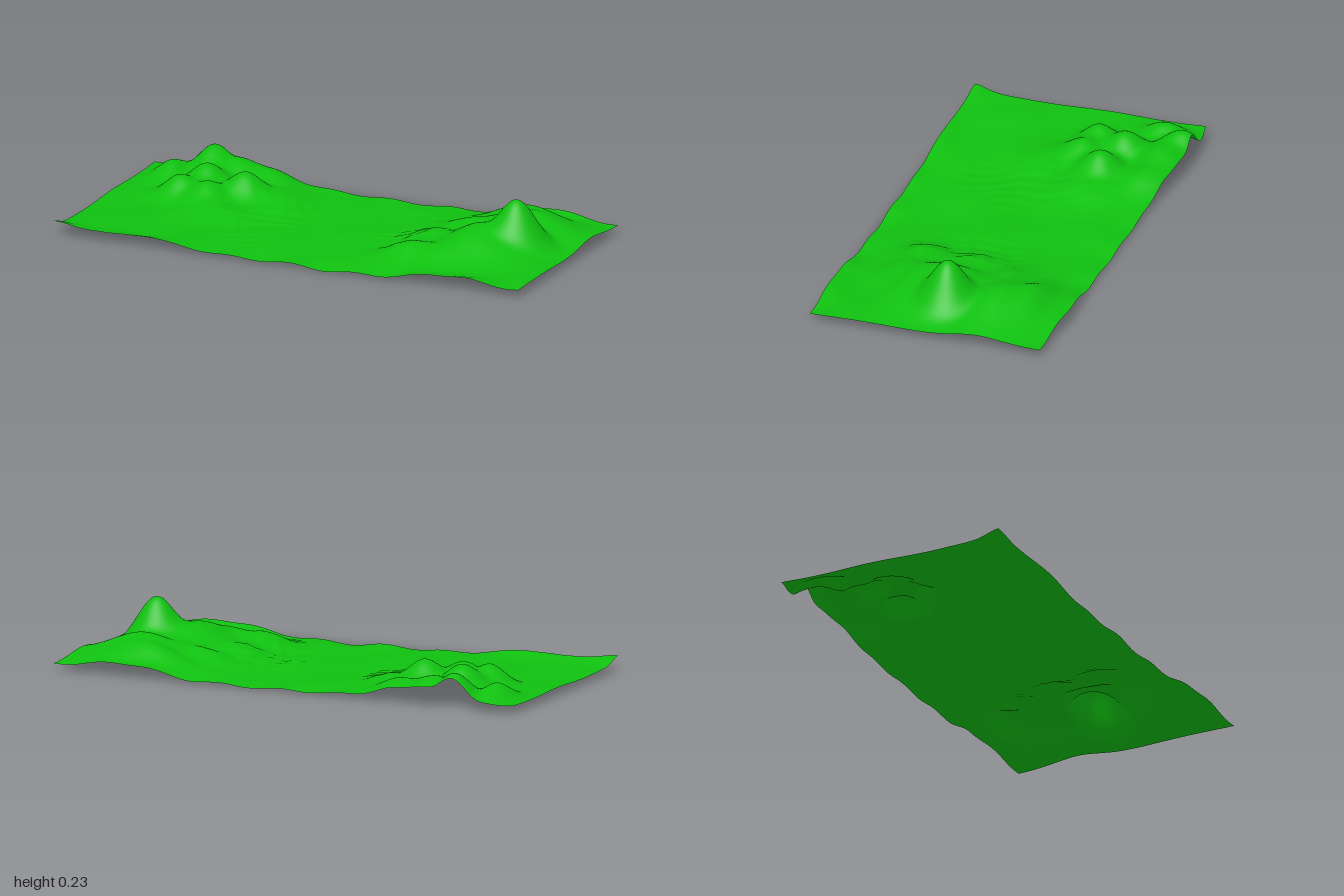
import * as THREE from 'three';

// Hills: x, z, height above the plain, radius in x, radius in z
const HILLS = [
  // right massif: tall peak, plateau and foothills
  [0.77, 0.0, 0.2, 0.078, 0.075],
  [0.74, -0.2, 0.1, 0.14, 0.09],
  [0.68, -0.31, 0.075, 0.14, 0.06],
  [0.62, 0.03, 0.095, 0.1, 0.13],
  [0.67, 0.14, 0.075, 0.13, 0.09],
  [0.52, -0.16, 0.055, 0.1, 0.07],
  [0.41, 0.22, 0.06, 0.08, 0.08],
  [0.56, 0.24, 0.05, 0.1, 0.07],
  [0.42, 0.02, 0.05, 0.08, 0.09],
  [0.7, -0.47, 0.03, 0.1, 0.05],
  // left massif: knot of rounded summits
  [-0.74, -0.43, 0.105, 0.06, 0.06],
  [-0.63, -0.4, 0.085, 0.09, 0.07],
  [-0.67, -0.24, 0.1, 0.07, 0.07],
  [-0.73, -0.11, 0.085, 0.06, 0.06],
  [-0.6, -0.09, 0.08, 0.07, 0.07],
  [-0.49, -0.2, 0.11, 0.07, 0.07],
  [-0.47, -0.38, 0.06, 0.09, 0.07],
  [-0.87, -0.34, 0.065, 0.05, 0.07],
  [-0.36, -0.22, 0.04, 0.09, 0.12],
  [-0.5, 0.03, 0.03, 0.1, 0.08],
  // low swells along the front edge
  [-0.95, 0.5, 0.03, 0.1, 0.05],
  [-0.62, 0.5, 0.02, 0.08, 0.04],
  [0.72, 0.5, 0.02, 0.12, 0.05],
];

const bell = (d, r) => Math.exp(-0.5 * (d / r) ** 2);

// Ground height: valley floor, blended hills and fine ripples
function heightAt(x, z) {
  const floor = 0.015 + 0.018 * Math.min(1, (x / 0.6) ** 2);
  let sum = 0;
  for (const [hx, hz, h, rx, rz] of HILLS) {
    sum += (h * bell(x - hx, rx) * bell(z - hz, rz)) ** 2.5;
  }
  const hills = sum ** 0.4;
  const rough = bell(Math.abs(x) - 0.3, 0.12) * bell(z - 0.05, 0.2);
  const ripples = 0.0035 * rough * Math.sin(61 * x + 23 * z + 2 * Math.sin(19 * z)) * Math.sin(47 * z - 31 * x);
  const swell = 0.004 * Math.sin(14 * x + 3 * z) * Math.cos(11 * z - 4 * x);
  // the outer rims dip and wave gently
  const rim = bell(z - 0.495, 0.05) + bell(z + 0.46, 0.05);
  const wave = rim * (0.005 * Math.sin(24 * x + 1) - 0.009 * bell(x - 0.25, 0.12));
  return Math.max(0, floor + hills + ripples + swell + wave);
}

export function createModel() {
  const group = new THREE.Group();
  group.name = 'landscape';
  const grass = new THREE.MeshStandardMaterial({ color: 0x10c010, side: THREE.DoubleSide });
  grass.name = 'grass green';

  // Open terrain sheet, with the back edge pushed out behind the hills
  const geometry = new THREE.PlaneGeometry(2, 0.955, 200, 96);
  geometry.rotateX(-Math.PI / 2);
  geometry.translate(0, 0, 0.0175);
  const p = geometry.attributes.position;
  for (let i = 0; i < p.count; i++) {
    const x = p.getX(i), z = p.getZ(i);
    const bulge = 0.035 * bell(x + 0.68, 0.16) + 0.015 * bell(x - 0.68, 0.1) + 0.012 * bell(x + 0.88, 0.05);
    p.setXYZ(i, x, heightAt(x, z), z - bulge * bell(z + 0.46, 0.05));
  }
  geometry.computeVertexNormals();

  const terrain = new THREE.Mesh(geometry, grass);
  terrain.name = 'terrain';
  group.add(terrain);
  return group;
}
